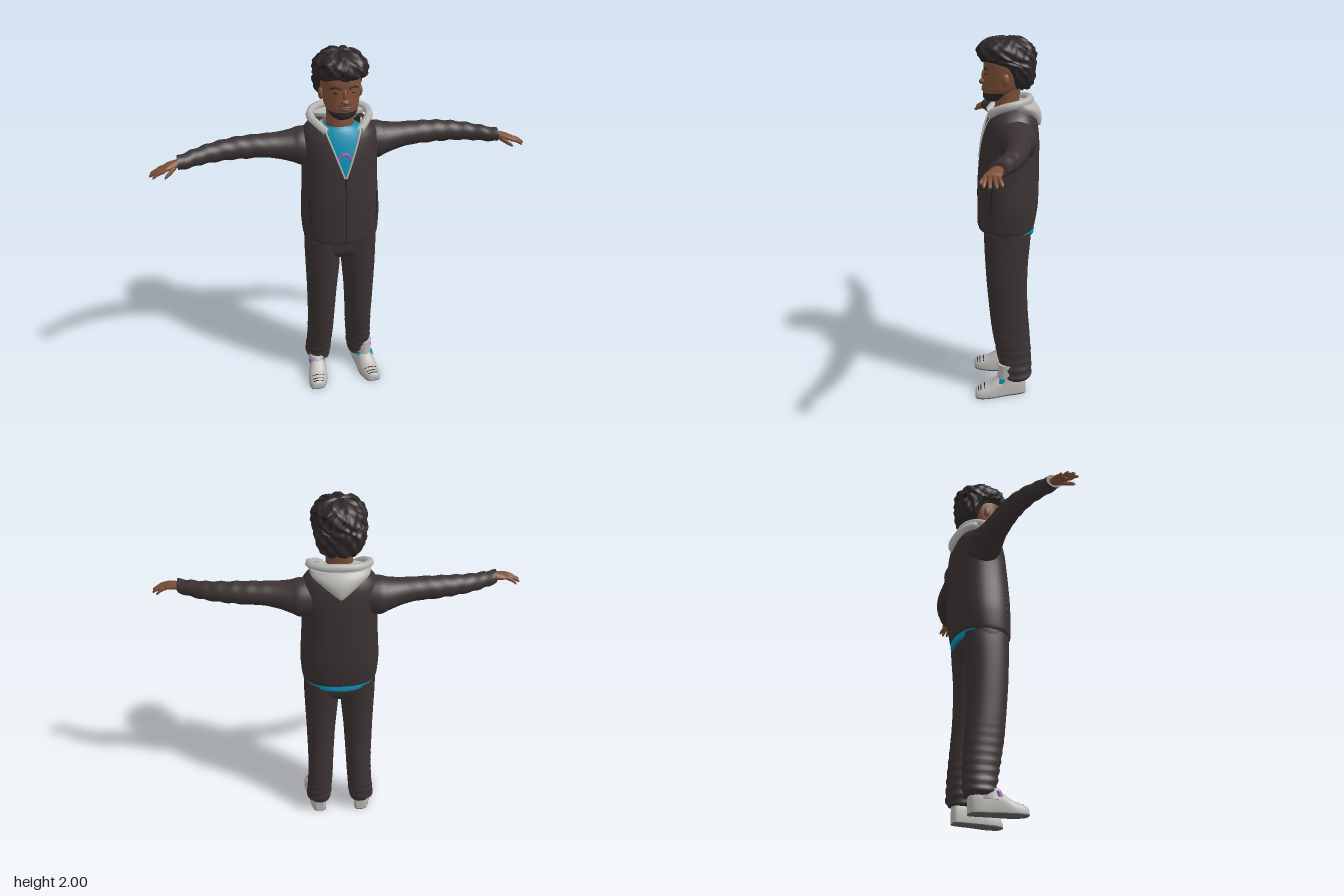
import * as THREE from 'three';

const mat = (name, color, side = THREE.FrontSide) => {
  const m = new THREE.MeshStandardMaterial({ color, side });
  m.name = name;
  return m;
};

// Smooth interpolation through the rows of a section table, s in 0..1
function rowAt(rows, s) {
  const f = Math.min(Math.max(s, 0), 1) * (rows.length - 1);
  const i = Math.min(Math.floor(f), rows.length - 2), t = f - i;
  const r = k => rows[Math.min(Math.max(k, 0), rows.length - 1)];
  return rows[0].map((_, c) => {
    const a = r(i - 1)[c], b = r(i)[c], d = r(i + 1)[c], e = r(i + 2)[c];
    return b + 0.5 * t * (d - a + t * (2 * a - 5 * b + 4 * d - e + t * (3 * (b - d) + e - a)));
  });
}

// A row is [position on axis, side centre, side radius, low, high]
function pointAt(rows, s, ang, { axis = 'y', p = 2, bump } = {}) {
  const [t, c, r, lo, hi] = rowAt(rows, s);
  const pw = v => Math.sign(v) * Math.abs(v) ** (2 / p);
  const a = c + r * pw(Math.sin(ang)), b = (lo + hi) / 2 + (hi - lo) / 2 * pw(Math.cos(ang));
  const v = axis === 'y' ? new THREE.Vector3(a, t, b)
    : axis === 'x' ? new THREE.Vector3(t, b, a) : new THREE.Vector3(a, b, t);
  if (bump) bump(v, s, ang);
  return v;
}

// Capped skin over the sections; gap(row) leaves an opening around angle 0
function loft(rows, opt = {}) {
  const { n = 32, steps = 32, gap } = opt, pos = [], idx = [], w = n + 1;
  const push = v => pos.push(v.x, v.y, v.z);
  const ring = s => {
    const g = gap ? gap(rowAt(rows, s)) : 0;
    return Array.from({ length: w }, (_, j) =>
      pointAt(rows, s, !gap && j === n ? 0 : g + (2 * Math.PI - 2 * g) * j / n, opt));
  };
  for (let i = 0; i <= steps; i++) ring(i / steps).forEach(push);
  const col = j => (gap ? j : j % n);
  for (let i = 0; i < steps; i++) for (let j = 0; j < n; j++) {
    const a = i * w + col(j), b = i * w + col(j + 1);
    idx.push(a, b, a + w, b, b + w, a + w);
  }
  for (const s of [0, 1]) {
    const pts = ring(s), base = pos.length / 3, mid = new THREE.Vector3();
    pts.forEach(v => { push(v); mid.addScaledVector(v, 1 / w); });
    push(mid);
    for (let j = 0; j < n; j++) idx.push(base + w, base + j + (s ? 0 : 1), base + j + (s ? 1 : 0));
  }
  const g = new THREE.BufferGeometry();
  g.setAttribute('position', new THREE.Float32BufferAttribute(pos, 3));
  g.setIndex(idx);
  g.computeVertexNormals();
  return g;
}

function mirrored(geo) {
  const g = geo.clone().scale(-1, 1, 1), a = g.index.array;
  for (let i = 0; i < a.length; i += 3) [a[i], a[i + 1]] = [a[i + 1], a[i]];
  return g;
}

const tube = (pts, r, seg = 24) => new THREE.TubeGeometry(new THREE.CatmullRomCurve3(
  pts.map(q => (q.isVector3 ? q : new THREE.Vector3(...q)))), seg, r, 6);
const ball = (x, y, z, sx, sy, sz) => new THREE.SphereGeometry(1, 18, 12).scale(sx, sy, sz).translate(x, y, z);

export function createModel() {
  const root = new THREE.Group();
  const cloth = mat('dark cloth', 0x3b3233, THREE.DoubleSide), hairM = mat('hair', 0x2d2728);
  const skin = mat('skin', 0x7d5037), lipM = mat('lips', 0x653c30), teal = mat('teal shirt', 0x0a90b2);
  const grey = mat('light grey', 0xb8b7b3, THREE.DoubleSide), purple = mat('purple', 0xa05fb4);
  const black = mat('black line', 0x151213), soleM = mat('sole', 0x626262);
  const add = (name, geo, m) => {
    const mesh = new THREE.Mesh(geo, m);
    mesh.name = name;
    root.add(mesh);
  };
  const pair = (name, geo, m) => {
    add(name + 'Left', geo, m);
    add(name + 'Right', mirrored(geo), m);
  };

  // Jacket body with an open V neck
  const body = [[0.975, 0, 0.2, -0.148, 0.153], [1.0, 0, 0.207, -0.156, 0.157], [1.1, 0, 0.213, -0.172, 0.157],
    [1.2, 0, 0.208, -0.176, 0.156], [1.3, 0, 0.202, -0.177, 0.15], [1.4, 0, 0.2, -0.177, 0.141],
    [1.48, 0, 0.205, -0.175, 0.13], [1.55, 0, 0.2, -0.166, 0.113], [1.59, 0, 0.18, -0.155, 0.097],
    [1.62, 0, 0.15, -0.14, 0.08], [1.645, 0, 0.115, -0.12, 0.062]];
  const P = 2.3;
  const gap = ([y, , r]) => Math.asin(Math.min(0.95, Math.max(0, (y - 1.35) * 0.36 / r)) ** (P / 2));
  add('jacketBody', loft(body, { p: P, n: 56, steps: 80, gap }), cloth);
  const edge = [], seam = [], pocket = [];
  for (let i = 0; i <= 20; i++) {
    const s = 0.46 + 0.52 * i / 20;
    edge.push(pointAt(body, s, gap(rowAt(body, s)), { p: P }));
    seam.push(pointAt(body, 0.46 * i / 20, 0, { p: P }));
    pocket.push(pointAt(body, 0.18 + 0.15 * i / 20, 0.95 + 0.08 * i / 20, { p: P }));
  }
  pair('collarTrim', tube(edge, 0.005, 40), grey);
  add('frontSeam', tube(seam, 0.002), black);
  pair('pocketLine', tube(pocket, 0.002), black);

  // Shirt, its printed arch and the hem showing at the back
  add('shirt', loft([[1.28, 0, 0.17, -0.15, 0.135], [1.4, 0, 0.17, -0.15, 0.126], [1.48, 0, 0.17, -0.15, 0.115],
    [1.55, 0, 0.15, -0.14, 0.098], [1.595, 0, 0.105, -0.1, 0.08], [1.615, 0, 0.07, -0.08, 0.062]]), teal);
  add('shirtPrint', tube([[-0.036, 1.45, 0.117], [-0.022, 1.476, 0.116], [0, 1.485, 0.115],
    [0.022, 1.476, 0.116], [0.036, 1.45, 0.117]], 0.008), purple);
  add('shirtHem', loft([[0.95, 0, 0.165, -0.152, 0.08], [0.97, 0, 0.185, -0.153, 0.08], [1.0, 0, 0.19, -0.148, 0.08]],
    { p: 2.2, steps: 6 }), teal);

  // Sleeves
  pair('sleeve', loft([[0.1, -0.045, 0.09, 1.40, 1.585], [0.2, -0.048, 0.1, 1.385, 1.588], [0.25, -0.046, 0.09, 1.405, 1.576],
    [0.32, -0.04, 0.074, 1.43, 1.57], [0.4, -0.035, 0.066, 1.447, 1.57], [0.5, -0.03, 0.06, 1.452, 1.57],
    [0.6, -0.016, 0.055, 1.458, 1.565], [0.7, 0.012, 0.05, 1.462, 1.555], [0.78, 0.05, 0.047, 1.465, 1.545],
    [0.835, 0.077, 0.042, 1.468, 1.54]], { axis: 'x', n: 28, steps: 60,
    bump: v => { v.y += 0.003 * Math.sin(v.x * 75 + v.z * 25) * Math.min(1, Math.max(0, (v.x - 0.3) * 4)); } }), cloth);

  // Hands: palm, four fingers, thumb
  pair('palm', loft([[0.82, 0.073, 0.026, 1.482, 1.525], [0.85, 0.086, 0.031, 1.482, 1.523],
    [0.885, 0.098, 0.04, 1.482, 1.515], [0.91, 0.106, 0.037, 1.48, 1.503]], { axis: 'x', n: 16, steps: 10 }), skin);
  [[0.95, 0.078, 0.064], [0.972, 0.096, 0.088], [0.975, 0.114, 0.117], [0.96, 0.133, 0.142]].forEach(([x, z0, z1], k) =>
    pair('finger' + (k + 1), loft([[0.895, z0, 0.01, 1.483, 1.504], [(0.9 + x) / 2, (z0 + z1) / 2, 0.0095, 1.473, 1.493],
      [x - 0.006, z1, 0.008, 1.461, 1.476], [x, z1, 0.003, 1.461, 1.468]], { axis: 'x', n: 10, steps: 9 }), skin));
  pair('thumb', loft([[0.845, 0.1, 0.013, 1.482, 1.508], [0.87, 0.13, 0.014, 1.47, 1.496],
    [0.895, 0.15, 0.01, 1.46, 1.478], [0.902, 0.154, 0.003, 1.46, 1.468]], { axis: 'x', n: 10, steps: 9 }), skin);

  // Trousers
  add('trouserSeat', loft([[0.85, 0, 0.1, -0.085, 0.085], [0.89, 0, 0.185, -0.118, 0.117],
    [0.95, 0, 0.199, -0.133, 0.124], [1.02, 0, 0.2, -0.142, 0.13]], { p: 2.4, n: 44 }), cloth);
  pair('trouserLeg', loft([[0.09, 0.128, 0.064, -0.125, 0.028], [0.12, 0.128, 0.073, -0.136, 0.034],
    [0.2, 0.121, 0.071, -0.137, 0.05], [0.3, 0.115, 0.073, -0.132, 0.07], [0.4, 0.112, 0.075, -0.124, 0.087],
    [0.5, 0.11, 0.079, -0.116, 0.098], [0.6, 0.108, 0.083, -0.112, 0.107], [0.7, 0.105, 0.089, -0.112, 0.115],
    [0.8, 0.102, 0.095, -0.116, 0.12], [0.9, 0.101, 0.098, -0.125, 0.122], [0.97, 0.1, 0.098, -0.13, 0.124]],
    { p: 2.2, n: 32, steps: 70, bump: v => {
      const k = 0.004 * Math.max(0, 1 - v.y / 0.5) * Math.sin(v.y * 130 + v.x * 30);
      v.x += k * Math.sign(v.x - 0.12);
      v.z += k * Math.sign(v.z + 0.04);
    } }), cloth);

  // Shoes
  const shoe = [[0.186, 0.172, 0.02, -0.005, 0.028], [0.178, 0.171, 0.036, -0.03, 0.045], [0.15, 0.166, 0.05, -0.04, 0.058],
    [0.1, 0.157, 0.057, -0.05, 0.078], [0.05, 0.149, 0.053, -0.06, 0.112], [0, 0.141, 0.047, -0.06, 0.128],
    [-0.06, 0.132, 0.044, -0.06, 0.13], [-0.095, 0.126, 0.036, -0.05, 0.12], [-0.106, 0.124, 0.02, -0.03, 0.1]];
  const between = (lo, hi) => v => { v.y = Math.min(hi, Math.max(lo, v.y)); };
  pair('shoe', loft(shoe, { axis: 'z', p: 2.5, n: 36, bump: between(0.005, 1) }), grey);
  pair('sole', loft(shoe, { axis: 'z', p: 2.5, n: 36, bump: between(0, 0.006) }), soleM);
  const ankle = top => loft([[0.07, 0.15, 0.046, -0.06, 0.078], [0.11, 0.149, 0.042, -0.06, 0.06],
    [top, 0.15, 0.039, -0.05, 0.05]], { steps: 12 });
  add('ankleLeft', ankle(0.188), grey);
  add('ankleRight', mirrored(ankle(0.125)), grey);
  const patch = loft([[0.085, 0.151, 0.049, 0.012, 0.062], [0.11, 0.151, 0.046, 0.004, 0.05]], { steps: 3 });
  add('shoePatchLeft', patch, teal);
  add('shoePatchRight', mirrored(patch), purple);
  for (const k of [0, 1, 2]) pair('toeMark' + (k + 1),
    tube([-0.7, 0, 0.6].map(a => pointAt(shoe, 0.18 + 0.06 * k, a, { axis: 'z', p: 2.5 })), 0.003, 8), black);

  // Neck, head and ears
  add('neck', loft([[1.57, 0, 0.085, -0.08, 0.06], [1.62, 0, 0.074, -0.07, 0.062], [1.68, 0, 0.07, -0.07, 0.056],
    [1.75, 0, 0.072, -0.08, 0.05]]), skin);
  add('head', loft([[1.672, 0, 0.035, 0.045, 0.1], [1.685, 0, 0.056, 0.015, 0.116], [1.72, 0, 0.082, -0.05, 0.121],
    [1.76, 0, 0.092, -0.085, 0.12], [1.82, 0, 0.1, -0.1, 0.117], [1.88, 0, 0.1, -0.1, 0.114],
    [1.94, 0, 0.08, -0.08, 0.085]], { p: 2.2 }), skin);
  add('beard', loft([[1.668, 0, 0.034, 0.043, 0.1], [1.682, 0, 0.058, 0.014, 0.119], [1.7, 0, 0.073, -0.01, 0.121],
    [1.712, 0, 0.08, -0.03, 0.121]], { p: 2.2, steps: 8 }), hairM);
  pair('ear', ball(0.1, 1.785, 0.008, 0.014, 0.032, 0.02), skin);

  // Face
  add('nose', ball(0, 1.768, 0.123, 0.021, 0.015, 0.02), skin);
  add('noseBridge', ball(0, 1.797, 0.115, 0.011, 0.034, 0.014), skin);
  add('upperLip', ball(0, 1.738, 0.12, 0.032, 0.007, 0.009), lipM);
  add('lowerLip', ball(0, 1.727, 0.12, 0.028, 0.008, 0.009), lipM);
  add('moustache', ball(0, 1.75, 0.119, 0.032, 0.004, 0.005), hairM);
  pair('eye', ball(0.04, 1.812, 0.106, 0.015, 0.006, 0.006), black);
  pair('eyebrow', tube([[0.018, 1.833, 0.115], [0.045, 1.84, 0.108], [0.07, 1.832, 0.092]], 0.005, 10), hairM);

  // Curly hair with drawn strands
  const hair = [[1.735, 0, 0.07, -0.115, -0.045], [1.755, 0, 0.098, -0.137, -0.022], [1.8, 0, 0.118, -0.145, -0.005],
    [1.85, 0, 0.13, -0.15, 0.035], [1.875, 0, 0.134, -0.152, 0.12], [1.9, 0, 0.137, -0.152, 0.143],
    [1.94, 0, 0.13, -0.142, 0.145], [1.97, 0, 0.104, -0.115, 0.118], [1.988, 0, 0.07, -0.085, 0.08],
    [1.995, 0, 0.025, -0.04, 0.03]];
  const curls = (v, s, a) => {
    const k = 1 + 0.045 * Math.sin(a * 9 + s * 14) * Math.sin(s * 21 + a * 2) + 0.03 * Math.sin(a * 17 - s * 25);
    v.x *= k;
    v.z *= k;
    v.y += 0.006 * Math.sin(a * 7 + s * 9);
  };
  add('hair', loft(hair, { n: 84, steps: 44, p: 2.15, bump: curls }), hairM);
  for (let k = 0; k < 18; k++) {
    const a0 = k * 2.4, s0 = 0.45 + 0.1 * (k % 4);
    add('hairStrand' + (k + 1), tube(Array.from({ length: 9 }, (_, i) =>
      pointAt(hair, s0 + 0.022 * i * (k % 2 ? 1 : 0.3), a0 + 0.08 * i * (k % 2 ? 0.4 : 1), { p: 2.15, bump: curls })),
    0.0028, 16), black);
  }

  // Hood lying on the back, with its rim round the neck
  add('hoodBag', loft([[1.535, 0, 0.012, -0.182, -0.16], [1.56, 0, 0.05, -0.188, -0.11], [1.6, 0, 0.105, -0.186, -0.05],
    [1.635, 0, 0.148, -0.172, -0.01], [1.665, 0, 0.152, -0.15, 0.0]], { n: 40 }), grey);
  const rim = [[0.088, 1.605, 0.088], [0.125, 1.635, 0.052], [0.152, 1.656, 0], [0.142, 1.668, -0.06], [0.09, 1.677, -0.108]];
  add('hoodRim', tube([...rim, [0, 1.682, -0.125], ...rim.map(([x, y, z]) => [-x, y, z]).reverse()], 0.021, 60), grey);

  return root;
}
